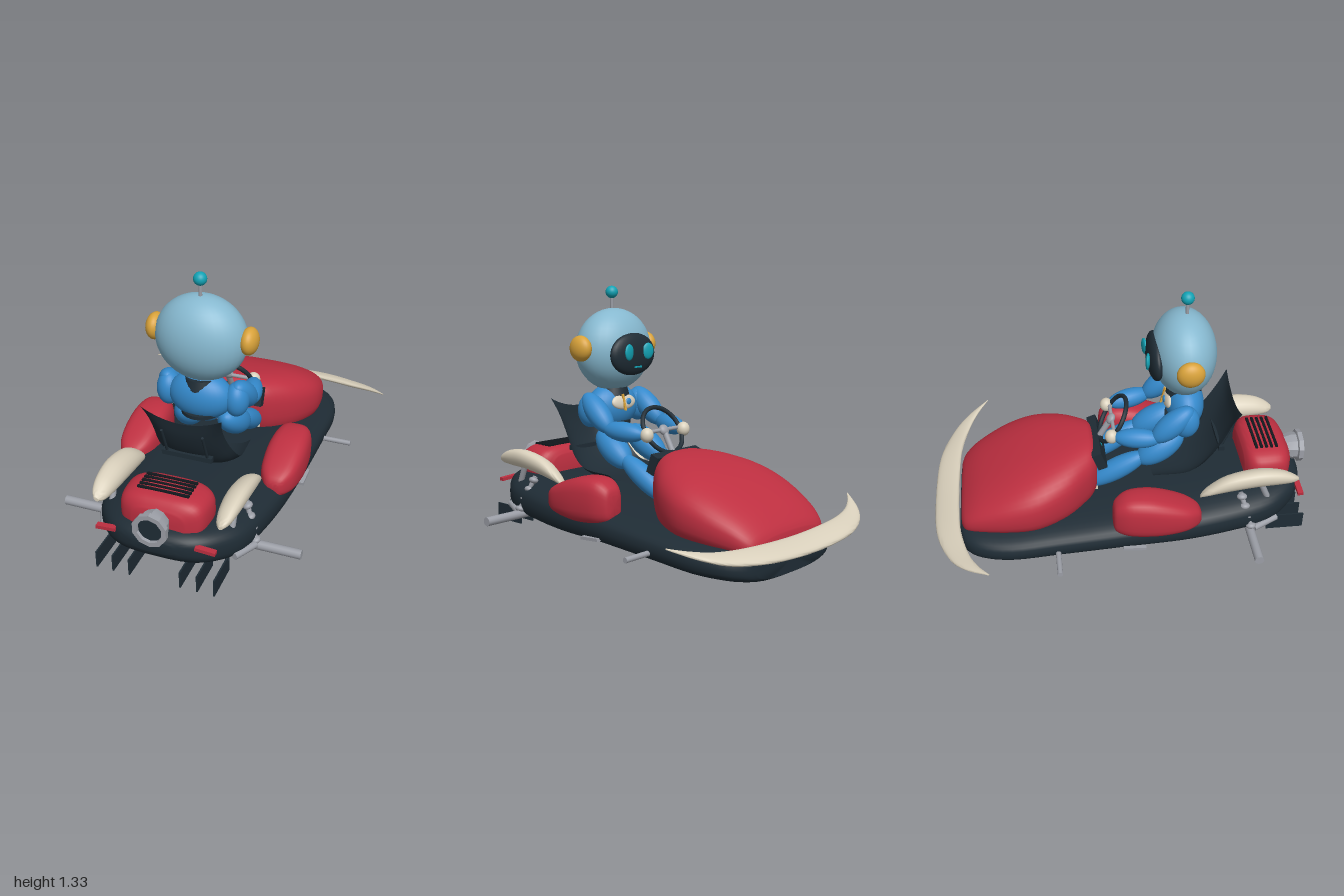
import * as THREE from 'three';
import { mergeVertices, toCreasedNormals } from 'three/addons/utils/BufferGeometryUtils.js';

const mat = (name, color, side = THREE.FrontSide) => {
  const m = new THREE.MeshStandardMaterial({ color, side });
  m.name = name;
  return m;
};

// Skin through superellipse sections [z, halfWidth, yBottom, yTop, centreX]
function loft(sections, { n = 2.6, sides = 36, sub = 4, shear = 0, crease = 0.9 } = {}) {
  const rows = [];
  const last = sections.length - 1;
  for (let i = 0; i < last; i++) {
    const p = [i - 1, i, i + 1, i + 2].map(k => sections[Math.min(last, Math.max(0, k))]);
    for (let s = 0; s < sub; s++) {
      const t = s / sub;
      rows.push(p[1].map((b, k) => {
        const a = p[0][k], c = p[2][k], d = p[3][k];
        return b + 0.5 * t * (c - a + t * (2 * a - 5 * b + 4 * c - d + t * (3 * (b - c) + d - a)));
      }));
    }
  }
  rows.push(sections[last]);
  const verts = [], index = [];
  const ring = (r, scale) => {
    const [z, w, y0, y1, cx = 0] = r;
    for (let j = 0; j < sides; j++) {
      const a = (j / sides) * Math.PI * 2, c = Math.cos(a), s = Math.sin(a);
      const dx = scale * w * Math.sign(c) * Math.abs(c) ** (2 / n);
      const dy = scale * (y1 - y0) / 2 * Math.sign(s) * Math.abs(s) ** (2 / n);
      verts.push(cx + dx, (y0 + y1) / 2 + dy + shear * dx, z);
    }
  };
  ring(rows[0], 0.001);
  rows.forEach(r => ring(r, 1));
  ring(rows[rows.length - 1], 0.001);
  for (let i = 0; i <= rows.length; i++) for (let j = 0; j < sides; j++) {
    const k = (j + 1) % sides, a = i * sides + j, b = i * sides + k;
    index.push(a, b, b + sides, a, b + sides, a + sides);
  }
  const g = new THREE.BufferGeometry();
  g.setAttribute('position', new THREE.Float32BufferAttribute(verts, 3));
  g.setIndex(index);
  return toCreasedNormals(mergeVertices(g, 1e-5), crease);
}

export function createModel() {
  const root = new THREE.Group();
  root.name = 'robotInKart';
  const navy = mat('navy', 0x1f2c35, THREE.DoubleSide), red = mat('red', 0xbd2f40);
  const cream = mat('cream', 0xd9d0bc), steel = mat('steel', 0x9b9ea6);
  const sky = mat('skyBlue', 0x86b8cf), blue = mat('blue', 0x3489cb);
  const gold = mat('gold', 0xd8a23a), teal = mat('teal', 0x12a3b5), black = mat('black', 0x12181d);

  const add = (name, geo, material, pos = [0, 0, 0], rot = [0, 0, 0]) => {
    const m = new THREE.Mesh(geo, material);
    m.name = name;
    m.position.set(...pos);
    m.rotation.set(...rot);
    root.add(m);
    return m;
  };
  const box = (name, size, material, pos, rot) => add(name, new THREE.BoxGeometry(...size), material, pos, rot);
  const ball = (name, r, material, pos, rot) => add(name, new THREE.SphereGeometry(1, 32, 22).scale(...r), material, pos, rot);
  // Rod or stretched ellipsoid between two points
  const between = (name, a, b, geoFor, material) => {
    const p = new THREE.Vector3(...a), q = new THREE.Vector3(...b), d = q.clone().sub(p);
    const m = add(name, geoFor(d.length()), material, p.clone().add(q).multiplyScalar(0.5).toArray());
    m.quaternion.setFromUnitVectors(new THREE.Vector3(0, 1, 0), d.normalize());
    return m;
  };
  const rod = (name, a, b, r, material) => between(name, a, b, l => new THREE.CylinderGeometry(r, r, l, 14), material);
  const limb = (name, a, b, r, material) => between(name, a, b, l => new THREE.SphereGeometry(1, 24, 18).scale(r, l / 2, r), material);

  // Hull
  add('hull', loft([
    [-0.865, 0.27, 0.02, 0.155], [-0.84, 0.34, 0.01, 0.17], [-0.76, 0.41, 0.008, 0.185], [-0.6, 0.455, 0.012, 0.2],
    [-0.35, 0.46, 0.025, 0.225], [0, 0.46, 0.04, 0.255], [0.3, 0.445, 0.035, 0.275], [0.55, 0.415, 0.045, 0.29],
    [0.75, 0.37, 0.06, 0.3], [0.88, 0.28, 0.1, 0.3], [0.945, 0.19, 0.15, 0.28], [0.97, 0.1, 0.19, 0.25]
  ], { n: 2.9, sides: 48 }), navy);

  // Bonnet and rear engine cover
  add('bonnet', loft([
    [-0.855, 0.24, 0.11, 0.215], [-0.83, 0.29, 0.1, 0.255], [-0.75, 0.335, 0.1, 0.325], [-0.6, 0.38, 0.1, 0.41],
    [-0.45, 0.385, 0.1, 0.47], [-0.3, 0.325, 0.12, 0.505], [-0.19, 0.235, 0.16, 0.515], [-0.15, 0.19, 0.2, 0.505], [-0.135, 0.165, 0.24, 0.47]
  ], { n: 2.7, sides: 48 }), red);
  add('engineCover', loft([
    [0.655, 0.15, 0.2, 0.39], [0.68, 0.195, 0.2, 0.425], [0.73, 0.22, 0.2, 0.437], [0.83, 0.215, 0.2, 0.437],
    [0.88, 0.19, 0.2, 0.42], [0.91, 0.13, 0.22, 0.38]
  ], { n: 3.4 }), red);
  for (let i = 0; i < 5; i++) box('coolingSlot', [0.26, 0.009, 0.014], black, [0, 0.438, 0.72 + i * 0.027]);

  // Exhaust
  const exhaust = [[0.05, -0.17], [0.06, -0.1], [0.075, -0.06], [0.075, -0.03], [0.088, -0.025], [0.088, 0], [0.064, 0], [0.06, -0.03]];
  add('exhaust', toCreasedNormals(new THREE.LatheGeometry(exhaust.map(p => new THREE.Vector2(...p)), 10), 0.4),
    steel, [0, 0.33, 1], [Math.PI / 2, 0, 0]);
  add('exhaustMouth', new THREE.CircleGeometry(0.064, 10), navy, [0, 0.33, 0.985]);

  // Front wing, lofted sideways
  const wing = [[0, 0.065, 0.15, 0.19, 0.935], [0.3, 0.062, 0.16, 0.198, 0.922], [0.5, 0.05, 0.175, 0.208, 0.868],
    [0.62, 0.032, 0.207, 0.228, 0.8], [0.71, 0.004, 0.247, 0.253, 0.712]];
  const wingHalf = wing.slice(1).reverse().map(([x, ...r]) => [-x, ...r]);
  add('frontWing', loft([...wingHalf, ...wing], { n: 2.3, sides: 20, sub: 5, shear: -0.33 }), cream, [0, 0, 0], [0, Math.PI / 2, 0]);

  // Bucket seat: a sheet bent along a curve, wings folded forward
  const seatPath = new THREE.CatmullRomCurve3([[0.17, 0.67, 0.605], [0.175, 0.58, 0.585], [0.19, 0.47, 0.535], [0.21, 0.38, 0.46],
    [0.21, 0.325, 0.36], [0.2, 0.31, 0.16]].map(p => new THREE.Vector3(...p)));
  const seat = new THREE.PlaneGeometry(2, 1, 16, 24), sp = seat.attributes.position;
  for (let i = 0; i < sp.count; i++) {
    const u = sp.getX(i), v = 0.5 - sp.getY(i), p = seatPath.getPoint(v), fold = u ** 4;
    const rise = 0.055 * u * u * (1 - v);
    sp.setXYZ(i, u * (p.x + 0.035 * (1 - v) ** 4), p.y + rise + 0.05 * fold * v, p.z - 0.055 * fold * Math.sin(Math.PI * Math.min(1, v * 1.1)));
  }
  seat.computeVertexNormals();
  add('seat', seat, navy);
  box('seatBrace', [0.26, 0.025, 0.03], navy, [0, 0.45, 0.53]);

  // Steering wheel, column and dashboard
  const tilt = 0.57, hub = [0, 0.6, -0.035];
  add('steeringWheel', new THREE.TorusGeometry(0.13, 0.012, 10, 40), navy, hub, [tilt, 0, 0]);
  rod('steeringColumn', [0, 0.6, -0.045], [0, 0.43, -0.14], 0.016, steel);
  rod('wheelCrossbar', [-0.125, 0.6, -0.04], [0.125, 0.6, -0.04], 0.01, steel);
  ball('wheelHub', [0.03, 0.03, 0.02], steel, [0, 0.6, -0.045], [tilt, 0, 0]);
  box('dashboard', [0.34, 0.1, 0.05], navy, [0, 0.45, -0.12], [-0.35, 0, 0]);
  box('dashDisplay', [0.1, 0.035, 0.008], teal, [0, 0.478, -0.105], [-0.35, 0, 0]);

  // Robot head
  ball('head', [0.232, 0.22, 0.165], sky, [0, 0.998, 0.325]);
  ball('facePlate', [0.16, 0.112, 0.045], navy, [0, 0.98, 0.18]);
  rod('antenna', [0, 1.19, 0.335], [0, 1.28, 0.335], 0.009, steel);
  ball('antennaTip', [0.033, 0.033, 0.033], teal, [0, 1.302, 0.335]);
  box('mouth', [0.05, 0.008, 0.008], teal, [0, 0.915, 0.14]);

  // Robot body
  add('neck', new THREE.CylinderGeometry(0.08, 0.095, 0.05, 28), navy, [0, 0.77, 0.335]);
  ball('torso', [0.165, 0.125, 0.1], blue, [0, 0.69, 0.34]);
  add('waistRing', new THREE.CylinderGeometry(0.1, 0.1, 0.018, 28), navy, [0, 0.607, 0.34]);
  ball('chestPlate', [0.085, 0.042, 0.02], cream, [0, 0.72, 0.25], [0.25, 0, 0]);
  ball('chestBadge', [0.018, 0.018, 0.008], blue, [-0.02, 0.722, 0.231]);
  box('chestStripe', [0.012, 0.09, 0.009], gold, [0.015, 0.72, 0.23], [0.25, 0, 0]);

  for (const s of [-1, 1]) {
    // Head and limbs
    ball('ear', [0.045, 0.068, 0.07], gold, [s * 0.24, 1.015, 0.322]);
    ball('eye', [0.035, 0.043, 0.012], teal, [s * 0.07, 0.995, 0.135], [0, s * 0.18, 0]);
    ball('shoulder', [0.062, 0.09, 0.07], blue, [s * 0.178, 0.685, 0.32]);
    limb('upperArm', [s * 0.185, 0.77, 0.35], [s * 0.195, 0.59, 0.15], 0.062, blue);
    limb('forearm', [s * 0.205, 0.605, 0.19], [s * 0.145, 0.59, -0.045], 0.052, blue);
    ball('hand', [0.035, 0.038, 0.034], cream, [s * 0.138, 0.59, -0.055]);
    limb('thigh', [s * 0.11, 0.565, 0.32], [s * 0.135, 0.41, 0.08], 0.073, blue);
    limb('shin', [s * 0.135, 0.46, 0.13], [s * 0.11, 0.26, -0.19], 0.058, blue);
    box('boot', [0.08, 0.06, 0.12], cream, [s * 0.11, 0.28, -0.19]);

    // Side pods and rear mudguards
    add('sidePod', loft([[-0.075, 0.035, 0.22, 0.32], [-0.06, 0.06, 0.19, 0.36], [0, 0.09, 0.17, 0.398], [0.1, 0.103, 0.162, 0.4],
      [0.2, 0.103, 0.165, 0.375], [0.3, 0.088, 0.18, 0.335], [0.36, 0.055, 0.195, 0.3], [0.38, 0.03, 0.21, 0.27]], { n: 3.2, sides: 28 }), red, [s * 0.39, 0, 0]);
    add('mudguard', loft([[0.39, 0.008, 0.283, 0.3], [0.43, 0.035, 0.295, 0.345], [0.53, 0.052, 0.315, 0.41], [0.68, 0.058, 0.335, 0.442],
      [0.8, 0.05, 0.34, 0.43], [0.87, 0.035, 0.345, 0.4], [0.905, 0.012, 0.355, 0.375]], { n: 2.2, sides: 20, shear: s * 0.3 }), cream, [s * 0.312, 0, 0]);

    // Axles, suspension and small fittings
    rod('rearAxle', [s * 0.33, 0.105, 0.65], [s * 0.625, 0.105, 0.65], 0.024, steel);
    rod('frontAxle', [s * 0.42, 0.105, -0.365], [s * 0.61, 0.105, -0.365], 0.014, steel);
    const top = [s * 0.33, 0.31, 0.6], low = [s * 0.405, 0.11, 0.66];
    rod('shockAbsorber', top, low, 0.013, steel);
    for (const t of [0.1, 0.35, 0.6, 0.88]) {
      const p = top.map((v, k) => v + (low[k] - v) * t);
      ball('shockCollar', [0.025, 0.018, 0.027], steel, p, [0, 0, s * 0.35]);
    }
    rod('mudguardStay', [s * 0.31, 0.25, 0.75], [s * 0.312, 0.37, 0.7], 0.016, steel);
    rod('steeringArm', [s * 0.34, 0.13, 0.8], [s * 0.4, 0.12, 0.67], 0.018, steel);
    box('sideStep', [0.03, 0.016, 0.12], steel, [s * 0.455, 0.1, 0.03], [0.08, 0, 0]);
    box('tailLight', [0.1, 0.018, 0.03], red, [s * 0.25, 0.243, 0.935], [0, 0, s * -0.06]);

    // Diffuser blades
    for (const x of [0.13, 0.215, 0.3]) {
      box('diffuserBlade', [0.008, 0.09, 0.2], navy, [s * x, 0.056, 0.865]);
      rod('bladeMount', [s * x, 0.08, 0.78], [s * x * 0.9, 0.16, 0.78], 0.01, navy);
    }
    rod('seatRib', [s * 0.105, 0.61, 0.596], [s * 0.105, 0.45, 0.53], 0.007, navy);
  }
  return root;
}
